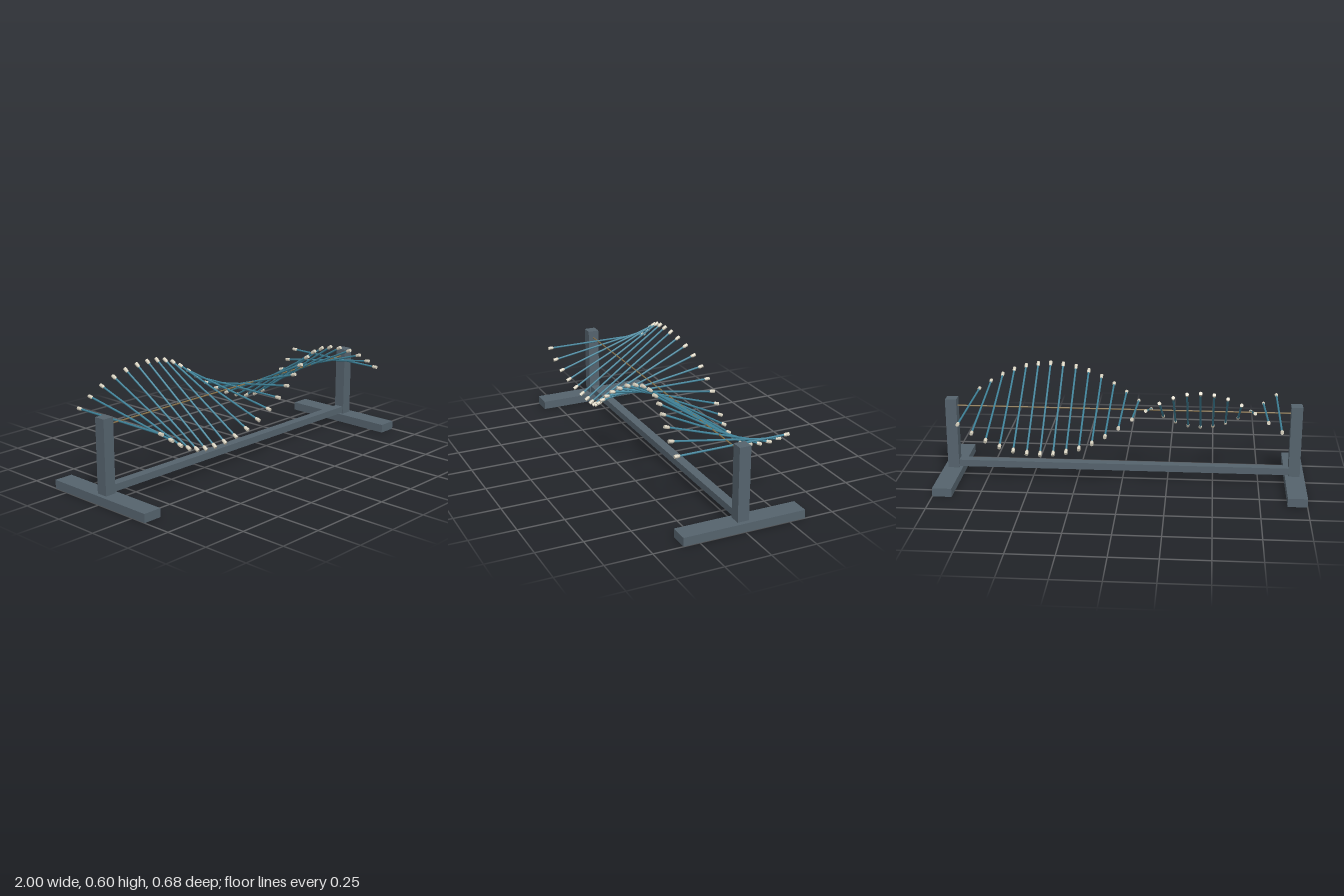
import * as THREE from 'three';

const frameMat = new THREE.MeshStandardMaterial({ color: 0x55636d });
const rodMat = new THREE.MeshStandardMaterial({ color: 0x3f8299 });
const tipMat = new THREE.MeshStandardMaterial({ color: 0xd6d0be, flatShading: true });
const wireMat = new THREE.MeshStandardMaterial({ color: 0x85704a });

const AXIS_Y = 0.404, ROD_COUNT = 25, HALF_SPAN = 0.85, SWING = THREE.MathUtils.degToRad(36);

function add(parent, name, geometry, material, x = 0, y = 0, z = 0) {
  const mesh = new THREE.Mesh(geometry, material);
  mesh.name = name;
  mesh.position.set(x, y, z);
  parent.add(mesh);
  return mesh;
}

export function createModel() {
  const model = new THREE.Group();
  model.name = 'waveMachine';

  // Stand: a foot and post at each end, joined by a low beam
  for (const s of [-1, 1]) {
    const side = s > 0 ? 'left' : 'right';
    add(model, side + 'Foot', new THREE.BoxGeometry(0.105, 0.047, 0.677), frameMat, s * 0.9475, 0.0235);
    add(model, side + 'Post', new THREE.BoxGeometry(0.062, 0.4, 0.063), frameMat, s * 0.945, 0.247);
  }
  add(model, 'beam', new THREE.BoxGeometry(1.84, 0.038, 0.05), frameMat, 0, 0.072);

  // Torsion wire between the posts
  const wire = add(model, 'torsionWire', new THREE.CylinderGeometry(0.004, 0.004, 1.84, 10), wireMat, 0, AXIS_Y);
  wire.rotation.z = Math.PI / 2;

  // Rods with weighted tips, swung along one full sine wave
  const rodGeo = new THREE.CylinderGeometry(0.0055, 0.0055, 0.59, 10).rotateX(Math.PI / 2);
  const profile = [[0, 0.287], [0.006, 0.287], [0.0095, 0.295], [0.0095, 0.317], [0, 0.317]];
  const tipGeo = new THREE.LatheGeometry(profile.map(([r, h]) => new THREE.Vector2(r, h)), 10).rotateX(Math.PI / 2);
  for (let i = 0; i < ROD_COUNT; i++) {
    const t = i / (ROD_COUNT - 1);
    const rod = new THREE.Group();
    rod.name = 'swingingRod' + (i + 1);
    rod.position.set((2 * t - 1) * HALF_SPAN, AXIS_Y, 0);
    rod.rotation.x = SWING * Math.sin(2 * Math.PI * t);
    add(rod, 'rod', rodGeo, rodMat);
    add(rod, 'frontTip', tipGeo, tipMat);
    add(rod, 'backTip', tipGeo, tipMat).rotation.y = Math.PI;
    model.add(rod);
  }
  return model;
}
